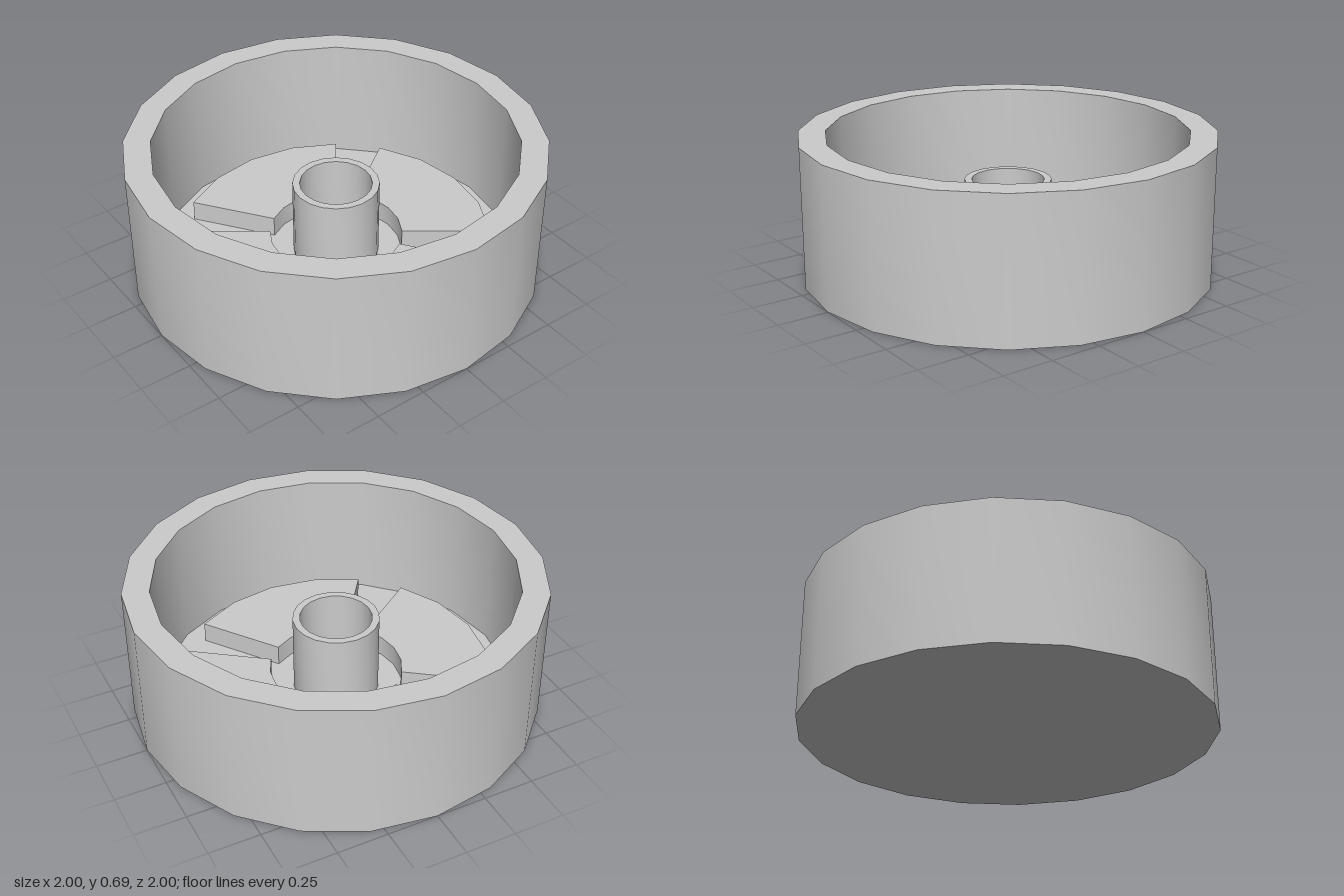
import * as THREE from 'three';
import { toCreasedNormals } from 'three/addons/utils/BufferGeometryUtils.js';

const SIDES = 20;
const FLOOR = 0.05;
const PAD_TOP = 0.155;
const material = new THREE.MeshStandardMaterial({ color: 0xcccccc });

function part(name, geometry) {
  const mesh = new THREE.Mesh(toCreasedNormals(geometry, 0.6), material);
  mesh.name = name;
  return mesh;
}

function turned(name, profile) {
  const points = profile.map(([r, y]) => new THREE.Vector2(r, y));
  return part(name, new THREE.LatheGeometry(points, SIDES));
}

// Ring sector spanning four facets of the 20-sided circle
function sectorGeometry(inner, outer, height) {
  const step = (Math.PI * 2) / SIDES;
  const points = [];
  const add = (r, i) => points.push(new THREE.Vector2(r * Math.cos(i * step), r * Math.sin(i * step)));
  for (let i = -2; i <= 2; i++) add(outer, i);
  for (let i = 2; i >= -2; i--) add(inner, i);
  const geometry = new THREE.ExtrudeGeometry(new THREE.Shape(points), { depth: height, bevelEnabled: false });
  return geometry.rotateX(-Math.PI / 2);
}

export function createModel() {
  const model = new THREE.Group();
  model.name = 'roundTub';

  // Thick-walled tub with a closed bottom
  model.add(turned('tub', [[0, 0], [1, 0], [1, 0.69], [0.87, 0.69], [0.87, FLOOR], [0, FLOOR]]));

  // Thin hollow tube in the middle
  model.add(turned('centreTube', [[0.21, FLOOR], [0.21, 0.45], [0.175, 0.45], [0.175, FLOOR]]));

  // Four raised sectors on the floor, leaving diagonal channels between them
  const pads = new THREE.Group();
  pads.name = 'floorPads';
  for (let i = 0; i < 4; i++) {
    const pad = part('floorPad', sectorGeometry(0.325, 0.76, PAD_TOP - FLOOR));
    pad.position.y = FLOOR;
    pad.rotation.y = (i * Math.PI) / 2;
    pads.add(pad);
  }
  model.add(pads);

  return model;
}
